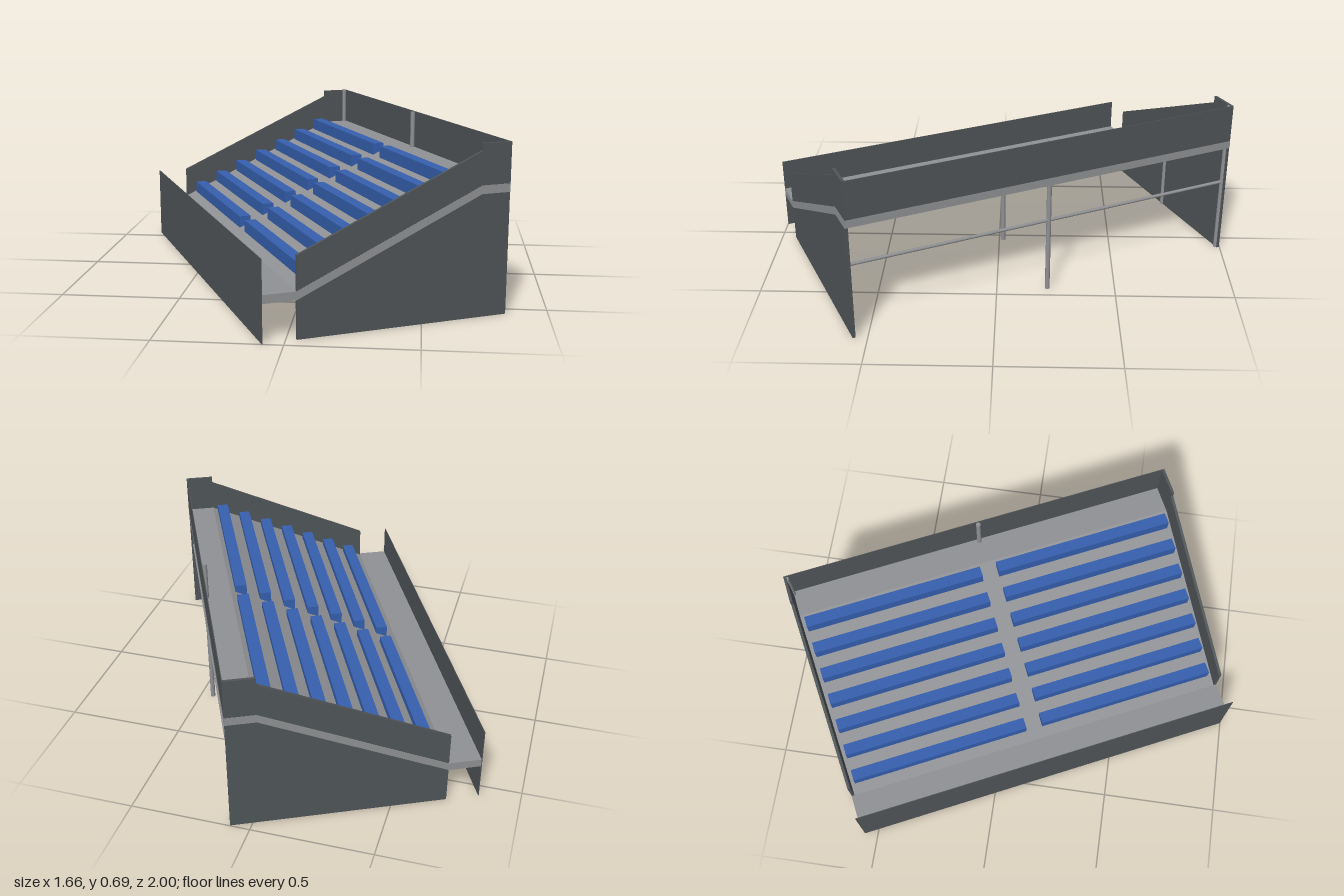
import * as THREE from 'three';

const HU = 0.507; // half depth, low front to high back
const HV = 0.865; // half length along the benches

export function createModel() {
  const concrete = new THREE.MeshStandardMaterial({ color: 0x8f9194 });
  concrete.name = 'light grey concrete';
  const panel = new THREE.MeshStandardMaterial({ color: 0x505558 });
  panel.name = 'dark grey panel';
  const seatBlue = new THREE.MeshStandardMaterial({ color: 0x355fae });
  seatBlue.name = 'seat blue';

  const model = new THREE.Group();
  model.name = 'grandstand';
  // The stand sits at an angle on its plot
  const stand = new THREE.Group();
  stand.name = 'stand';
  stand.rotation.y = 0.449;
  model.add(stand);

  function add(name, geometry, material, x, y, z) {
    const mesh = new THREE.Mesh(geometry, material);
    mesh.name = name;
    mesh.position.set(x, y, z);
    stand.add(mesh);
    return mesh;
  }
  const box = (name, mat, w, h, d, x, y, z) => add(name, new THREE.BoxGeometry(w, h, d), mat, x, y, z);
  function extruded(name, mat, points, depth, z) {
    const shape = new THREE.Shape(points.map(([x, y]) => new THREE.Vector2(x, y)));
    return add(name, new THREE.ExtrudeGeometry(shape, { depth, bevelEnabled: false }), mat, 0, 0, z);
  }

  // Floor: front walkway, sloping tier and flat top landing
  const floorTop = [[-HU + 0.003, 0.188], [-0.37, 0.188], [0.385, 0.53], [HU, 0.53]];
  const floorBottom = floorTop.map(([x, y]) => [x, y - 0.034]).reverse();
  extruded('floor', concrete, [...floorBottom, ...floorTop], 2 * HV, -HV);

  // End walls, just inside the floor's exposed edge
  const wallProfile = [[-0.37, 0], [HU - 0.001, 0], [HU - 0.001, 0.694], [0.383, 0.694], [0.383, 0.665], [-0.37, 0.325]];
  for (const side of [-1, 1]) {
    extruded('endWall', panel, wallProfile, 0.012, side < 0 ? -HV + 0.001 : HV - 0.013);
  }

  // Thin front barrier and back parapet
  box('frontBarrier', panel, 0.003, 0.325, 2 * HV, -HU + 0.0015, 0.1625, 0);
  box('backParapet', panel, 0.003, 0.164, 2 * HV - 0.002, HU - 0.0015, 0.612, 0);

  // Seven rows of benches, split by a central aisle
  for (let row = 0; row < 7; row++) {
    for (const side of [-1, 1]) {
      box('bench', seatBlue, 0.05, 0.054, 0.797, -0.3 + row * 0.1065, 0.233 + row * 0.0484, side * 0.4355);
    }
  }

  // Support posts and rear rail
  const post = (name, height, x, z) =>
    add(name, new THREE.CylinderGeometry(0.01, 0.01, height, 12), concrete, x, height / 2, z);
  for (const z of [-HV + 0.012, 0]) {
    post('backPost', 0.693, 0.493, z);
    post('middlePost', 0.335, 0.04, z);
  }
  const rail = add('rearRail', new THREE.CylinderGeometry(0.007, 0.007, 2 * HV - 0.01, 12), concrete, 0.493, 0.33, 0);
  rail.rotation.x = Math.PI / 2;

  return model;
}
